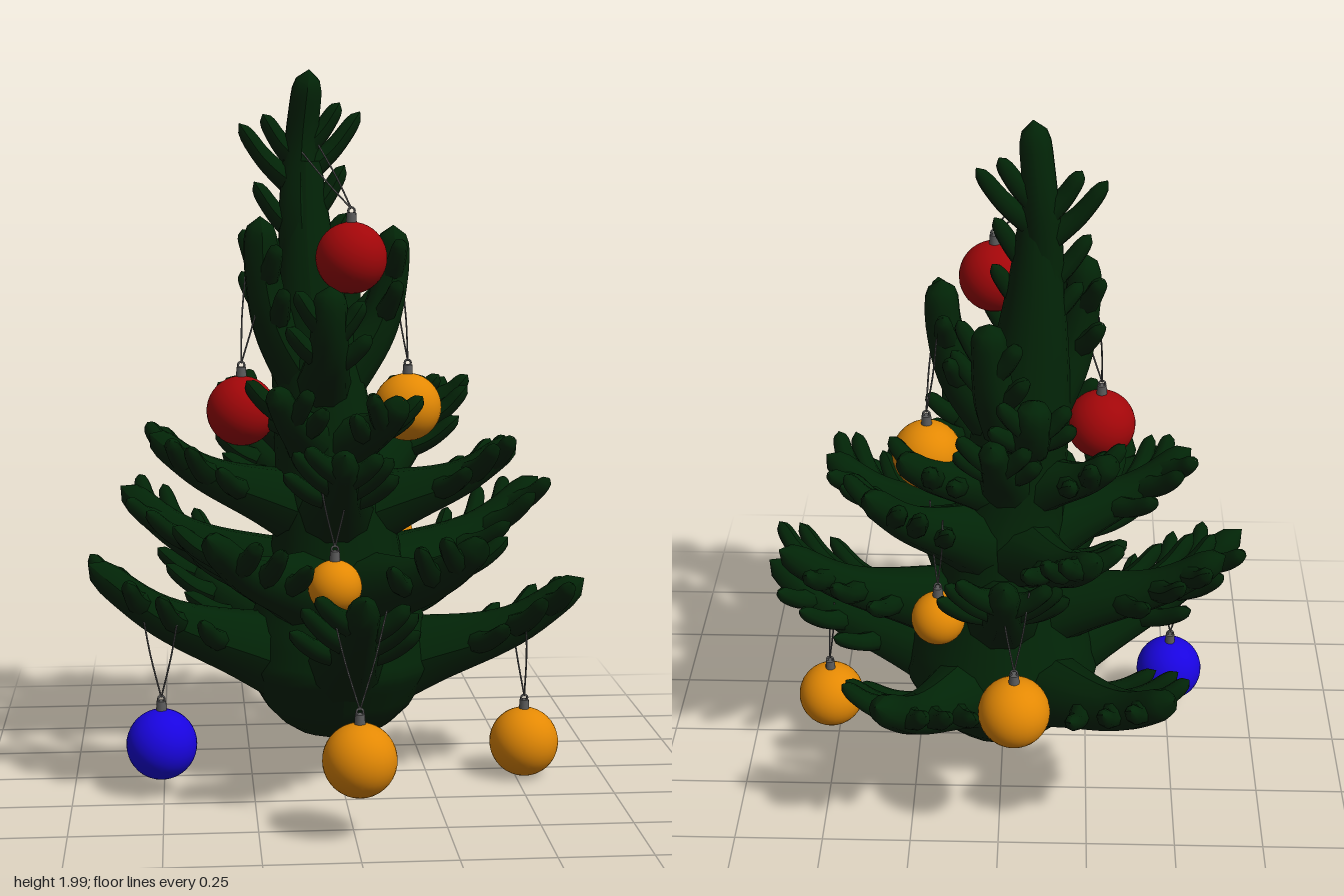
import * as THREE from 'three';
import { mergeGeometries } from 'three/addons/utils/BufferGeometryUtils.js';

const V = (x, y, z) => new THREE.Vector3(x, y, z);
const mat = (name, color) => {
  const m = new THREE.MeshStandardMaterial({ color });
  m.name = name;
  return m;
};

// Tube along a curve whose radius follows radiusAt(u)
function limb(curve, radiusAt, segments, sides) {
  const g = new THREE.TubeGeometry(curve, segments, 1, sides, false);
  const pos = g.attributes.position;
  const v = V(0, 0, 0);
  for (let i = 0; i <= segments; i++) {
    const u = i / segments;
    const c = curve.getPointAt(u);
    const r = Math.max(radiusAt(u), 0.001);
    for (let j = 0; j <= sides; j++) {
      const k = i * (sides + 1) + j;
      v.fromBufferAttribute(pos, k).sub(c).multiplyScalar(r).add(c);
      pos.setXYZ(k, v.x, v.y, v.z);
    }
  }
  g.computeVertexNormals();
  return g;
}

// Flared root r0 narrowing to r1, ending in a rounded tip
const taper = (r0, r1, cap) => (u) => {
  const r = r1 + (r0 - r1) * (1 - u) ** 2;
  const k = Math.max(0, (u - cap) / (1 - cap));
  return r * Math.sqrt(Math.max(0, 1 - k * k));
};

// Stem with pairs of blunt twigs lying along the side direction
function frond(points, side, r0, r1, twigs) {
  const curve = new THREE.CatmullRomCurve3(points);
  const parts = [limb(curve, taper(r0, r1, 0.88), 22, 10)];
  twigs.forEach(([t, length], i) => {
    for (const s of [-1, 1]) {
      const u = t + s * 0.03;
      const start = curve.getPointAt(u);
      const dir = curve.getTangentAt(u).multiplyScalar(0.62).addScaledVector(side, s * 0.78);
      dir.y += i % 2 ? 0.16 : 0.04;
      dir.normalize();
      const mid = start.clone().addScaledVector(dir, length * 0.55);
      const end = start.clone().addScaledVector(dir, length);
      end.y += length * 0.18;
      const twig = new THREE.CatmullRomCurve3([start, mid, end]);
      parts.push(limb(twig, taper(0.042, 0.023, 0.75), 12, 8));
    }
  });
  return mergeGeometries(parts);
}

export function createModel() {
  const green = mat('needle green', 0x022407);
  const red = mat('bauble red', 0xa20609);
  const orange = mat('bauble orange', 0xe48904);
  const blue = mat('bauble blue', 0x1904e0);
  const grey = mat('wire grey', 0x5c5c5c);
  const model = new THREE.Group();
  model.name = 'decoratedTree';
  const add = (parent, name, geometry, material) => {
    const m = new THREE.Mesh(geometry, material);
    m.name = name;
    parent.add(m);
    return m;
  };

  // Trunk: bowl-shaped foot narrowing upward, leaning slightly
  const axis = (y) => V(-0.09 * THREE.MathUtils.smoothstep(y, 0.5, 1.6), y, -0.07);
  const profile = [[0.1, 0], [0.11, 0.09], [0.14, 0.15], [0.2, 0.21], [0.32, 0.28], [0.42, 0.26],
    [0.62, 0.19], [0.9, 0.15], [1.2, 0.125], [1.45, 0.09], [1.75, 0.045]];
  const trunkRadius = (u) => {
    const y = 0.1 + u * 1.65;
    const i = Math.max(1, profile.findIndex((p) => p[0] >= y - 1e-6));
    const [a, b] = [profile[i - 1], profile[i]];
    return THREE.MathUtils.mapLinear(y, a[0], b[0], a[1], b[1]);
  };
  const spine = new THREE.CatmullRomCurve3([0.1, 0.4, 0.7, 1, 1.3, 1.55, 1.75].map(axis));
  add(model, 'trunk', limb(spine, trunkRadius, 66, 20), green);

  // Top shoot: a flat upright frond
  const topTwigs = [[0.08, 0.16], [0.26, 0.18], [0.48, 0.22], [0.6, 0.15]];
  add(model, 'topShoot', frond([axis(1.4), V(-0.105, 1.6, -0.065), V(-0.1, 1.8, -0.08), V(-0.08, 2, -0.045)],
    V(1, 0, 0), 0.085, 0.044, topTwigs), green);

  // Branch tiers: base height, sag, root radius, tip radius, twigs, tips
  const longTwigs = [[0.46, 0.23], [0.63, 0.21], [0.79, 0.16]];
  const midTwigs = [[0.48, 0.2], [0.66, 0.18], [0.81, 0.13]];
  const shortTwigs = [[0.48, 0.15], [0.7, 0.13]];
  const tiers = [
    [0.29, 0.06, 0.18, 0.045, longTwigs, [[-0.7, 0.66, 0.15], [0.69, 0.58, 0.07], [0.02, 0.65, 0.62],
      [0.32, 0.58, -0.64], [-0.47, 0.6, -0.62]]],
    [0.51, 0.05, 0.17, 0.042, longTwigs, [[-0.62, 0.81, -0.23], [0.61, 0.82, -0.25], [-0.38, 0.79, 0.47],
      [0.35, 0.77, 0.47], [-0.02, 0.93, -0.6]]],
    [0.74, 0.04, 0.15, 0.04, midTwigs, [[-0.53, 1, 0.03], [0.5, 0.97, 0.02], [-0.02, 1, 0.46],
      [0.35, 1.1, -0.42], [-0.26, 0.96, -0.51]]],
    [0.93, 0.03, 0.125, 0.038, shortTwigs, [[0.27, 1.12, -0.26], [-0.31, 1.12, -0.26], [-0.19, 1.14, 0.2],
      [0.16, 1.11, 0.21], [0.02, 1.22, -0.37]]],
    [1.08, -0.02, 0.1, 0.047, shortTwigs, [[-0.22, 1.6, 0.02], [0.16, 1.57, -0.09], [-0.04, 1.42, 0.2],
      [-0.09, 1.34, -0.33], [0.03, 1.5, -0.21]]],
  ];
  tiers.forEach(([y, sag, r0, r1, twigs, tips], t) => {
    const tier = new THREE.Group();
    tier.name = `branchTier${t + 1}`;
    model.add(tier);
    for (const p of tips) {
      const tip = V(...p);
      const base = axis(y);
      const at = (k, drop) => {
        const q = base.clone().lerp(tip, k);
        q.y -= drop;
        return q;
      };
      // Upright tiers swing outward first, then climb
      const points = t === 4
        ? [base, at(0.75, 0).setY(y + (tip.y - y) * 0.4), at(0.97, 0).setY(y + (tip.y - y) * 0.72), tip]
        : [base, at(0.35, sag * 0.6), at(0.72, sag), tip];
      const side = V(-(tip.z - base.z), 0, tip.x - base.x).normalize();
      add(tier, 'branch', frond(points, side, r0, r1, twigs), green);
    }
  });

  // Baubles: colour, centre, radius, wire rise, and wire spread / lean [x, z]
  const baubles = [
    [blue, [-0.505, 0.15, 0.16], 0.098, 0.24, [0.05, 0.02], [0, 0]],
    [orange, [0.01, 0.22, 0.575], 0.098, 0.26, [0.07, 0], [0, -0.01]],
    [orange, [0.525, 0.105, 0.06], 0.098, 0.25, [0.01, 0.07], [-0.02, 0]],
    [orange, [-0.045, 0.49, -0.53], 0.098, 0.27, [0.04, 0.02], [0, 0]],
    [orange, [-0.035, 0.62, 0.31], 0.073, 0.22, [0.045, 0], [0, 0]],
    [orange, [0.17, 0.64, -0.305], 0.075, 0.24, [0.02, 0.05], [0, 0]],
    [orange, [0.205, 1.05, -0.11], 0.097, 0.25, [0.005, 0.05], [-0.03, 0]],
    [red, [-0.275, 1.065, 0.05], 0.097, 0.24, [0.025, 0.03], [0.04, -0.05]],
    [red, [0.025, 1.49, 0.11], 0.098, 0.17, [0.03, 0.01], [-0.11, -0.15]],
  ];
  for (const [color, centre, r, rise, spread, lean] of baubles) {
    const bauble = new THREE.Group();
    bauble.name = 'bauble';
    bauble.position.set(...centre);
    model.add(bauble);
    add(bauble, 'ball', new THREE.SphereGeometry(r, 32, 20), color);
    add(bauble, 'cap', new THREE.CylinderGeometry(0.013, 0.015, 0.03, 12), grey).position.y = r + 0.01;
    add(bauble, 'ring', new THREE.TorusGeometry(0.009, 0.003, 6, 12), grey).position.y = r + 0.03;
    for (const s of [-1, 1]) {
      const end = V(lean[0] + s * spread[0], r + 0.035 + rise, lean[1] + s * spread[1]);
      const start = V(0, r + 0.035, 0);
      const mid = start.clone().lerp(end, 0.5).add(V(s * 0.004, 0, 0));
      add(bauble, 'wire', new THREE.TubeGeometry(new THREE.CatmullRomCurve3([start, mid, end]), 8, 0.0025, 5), grey);
    }
  }
  return model;
}
